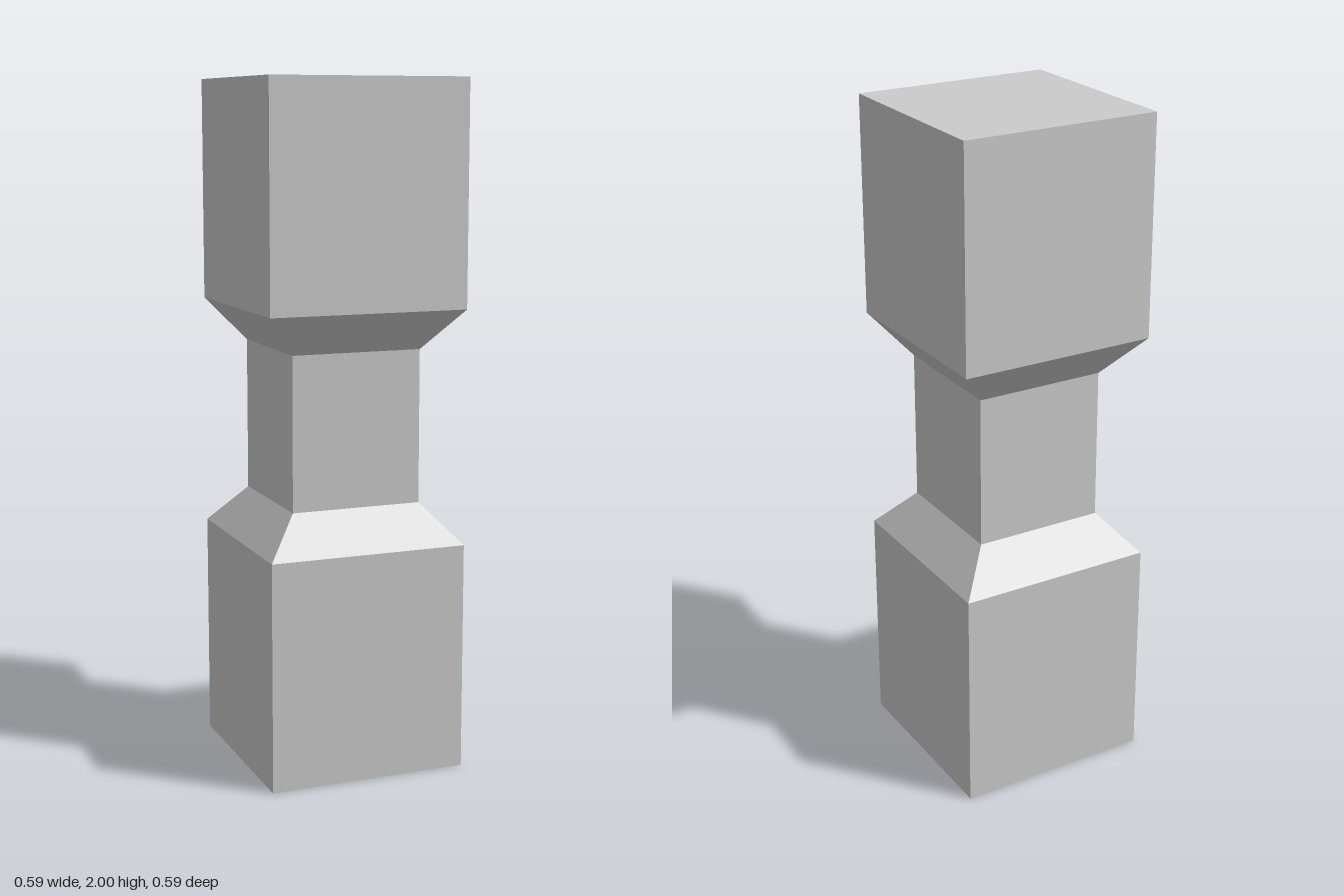
import * as THREE from 'three';

const material = new THREE.MeshStandardMaterial({ color: 0xcccccc, flatShading: true });

// Square solid of revolution: profile of [half width, height], bottom to top
function squareLathe(name, profile) {
  const points = profile.map(([half, y]) => new THREE.Vector2(half * Math.SQRT2, y));
  const geometry = new THREE.LatheGeometry(points, 4, Math.PI / 4).toNonIndexed();
  geometry.computeVertexNormals();
  const mesh = new THREE.Mesh(geometry, material);
  mesh.name = name;
  return mesh;
}

export function createModel() {
  const group = new THREE.Group();
  group.name = 'squarePost';
  const wide = 0.295, narrow = 0.195;

  // One closed skin: lower block, chamfer, waist, chamfer, upper block
  group.add(squareLathe('post', [
    [0, 0], [wide, 0], [wide, 0.67],
    [narrow, 0.785], [narrow, 1.235],
    [wide, 1.355], [wide, 2], [0, 2],
  ]));
  return group;
}
